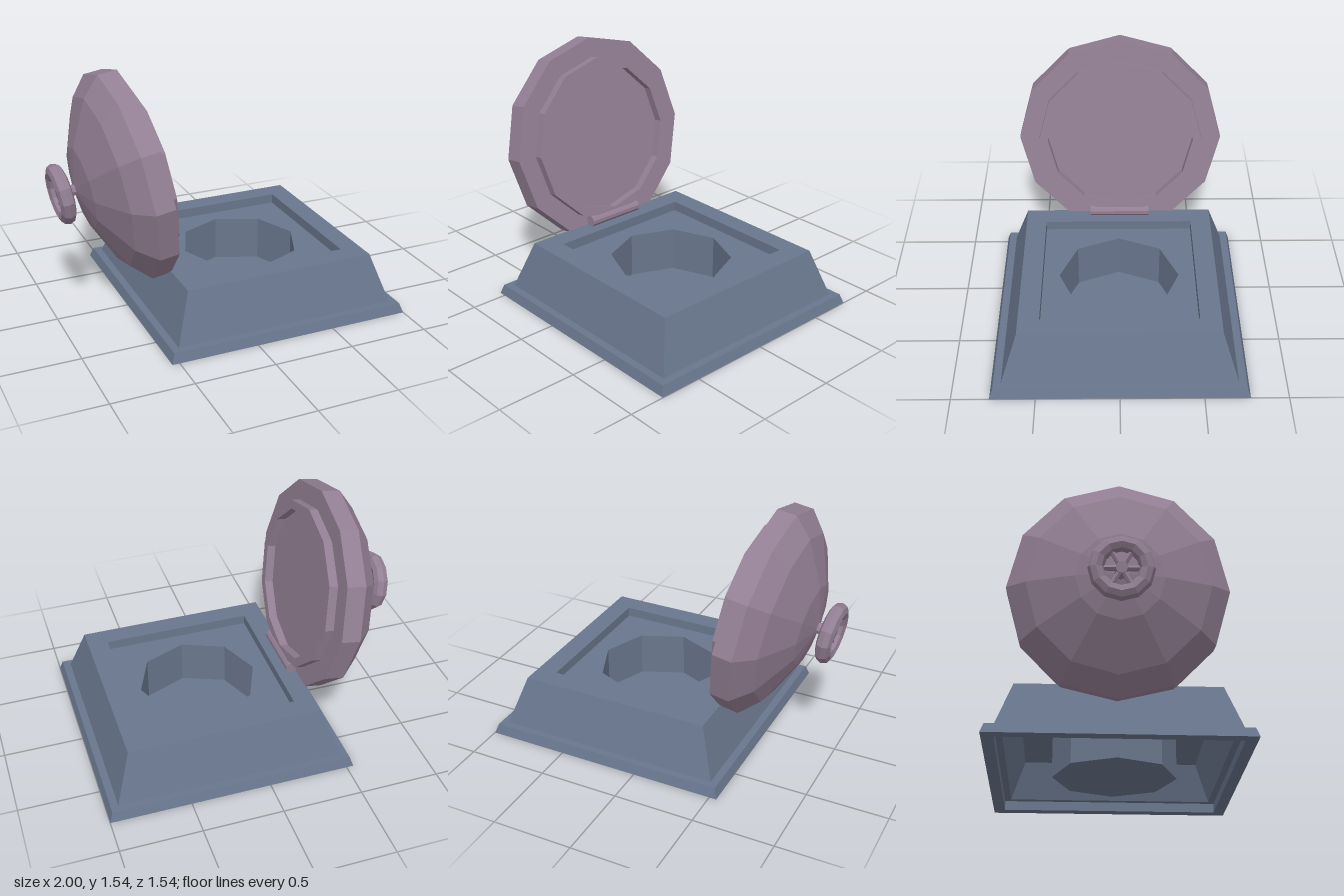
import * as THREE from 'three';

const slate = new THREE.MeshStandardMaterial({ color: 0x69768d, flatShading: true, side: THREE.DoubleSide });
slate.name = 'slate blue';
const mauve = new THREE.MeshStandardMaterial({ color: 0x937f94, flatShading: true, side: THREE.DoubleSide });
mauve.name = 'dusty mauve';

function part(name, geometry, material, parent) {
  const faceted = geometry.index ? geometry.toNonIndexed() : geometry;
  faceted.computeVertexNormals();
  const mesh = new THREE.Mesh(faceted, material);
  mesh.name = name;
  parent.add(mesh);
  return mesh;
}

// Faceted solid of revolution from [radius, height] pairs
function lathe(points, sides) {
  return new THREE.LatheGeometry(points.map(([r, y]) => new THREE.Vector2(r, y)), sides);
}

// Square frame: the same profile, given as half widths
function squareLathe(points) {
  return lathe(points.map(([h, y]) => [h * Math.SQRT2, y]), 4).rotateY(Math.PI / 4);
}

function polygon(path, radius, sides, turn) {
  for (let i = 0; i < sides; i++) {
    const a = turn + (i / sides) * Math.PI * 2;
    const x = radius * Math.cos(a), y = radius * Math.sin(a);
    if (i === 0) path.moveTo(x, y); else path.lineTo(x, y);
  }
  path.closePath();
  return path;
}

function createBase() {
  const base = new THREE.Group();
  base.name = 'base';
  base.position.x = 0.227;

  // Hollow sloping plinth with a stepped foot
  part('plinth', squareLathe([
    [0.7, 0], [0.772, 0], [0.752, 0.06], [0.706, 0.06], [0.606, 0.362],
    [0.477, 0.362], [0.477, 0.29], [0.57, 0.29], [0.66, 0.06], [0.7, 0.06], [0.7, 0],
  ]), slate, base);

  // Sunken floor with an eight-sided opening
  const floor = polygon(new THREE.Shape(), 0.477 * Math.SQRT2, 4, Math.PI / 4);
  floor.holes.push(polygon(new THREE.Path(), 0.375, 8, 0));
  const floorGeometry = new THREE.ExtrudeGeometry(floor, { depth: 0.01, bevelEnabled: false });
  floorGeometry.rotateX(-Math.PI / 2).translate(0, 0.29, 0);
  part('recessFloor', floorGeometry, slate, base);

  // Deep well hanging below the floor
  part('well', lathe([
    [0, 0.002], [0.383, 0.002], [0.383, 0.29], [0.375, 0.3], [0.375, 0.015], [0, 0.015],
  ], 8), slate, base);
  return base;
}

function createLid() {
  // Local y runs from the open face out through the dome
  const lid = new THREE.Group();
  lid.name = 'lid';
  lid.position.set(-0.457, 0.898, -0.013);
  lid.rotation.z = THREE.MathUtils.degToRad(99.2);

  part('dome', lathe([
    [0, 0], [0.469, 0], [0.469, -0.055], [0.525, -0.055], [0.525, 0],
    [0.65, 0], [0.65, 0.12], [0.535, 0.227], [0.255, 0.352], [0, 0.402],
  ], 12), mauve, lid);

  // Spoked hand wheel on a short stem
  part('wheelStem', new THREE.CylinderGeometry(0.035, 0.035, 0.12, 8).translate(0, 0.445, 0), mauve, lid);
  const wheel = new THREE.Group();
  wheel.name = 'handWheel';
  wheel.position.y = 0.483;
  lid.add(wheel);
  part('wheelRim', new THREE.TorusGeometry(0.143, 0.046, 8, 12).rotateX(Math.PI / 2), mauve, wheel);
  for (let i = 0; i < 3; i++) {
    const spoke = new THREE.CylinderGeometry(0.016, 0.016, 0.27, 6);
    spoke.rotateX(Math.PI / 2).rotateY((i * Math.PI) / 3);
    part('wheelSpoke', spoke, mauve, wheel);
  }
  return lid;
}

export function createModel() {
  const model = new THREE.Group();
  model.name = 'hatch';
  model.add(createBase(), createLid());

  // Hinge barrel between lid and base
  const hinge = part('hinge', new THREE.CylinderGeometry(0.037, 0.037, 0.385, 10).rotateX(Math.PI / 2), mauve, model);
  hinge.position.set(-0.34, 0.395, -0.008);
  return model;
}
